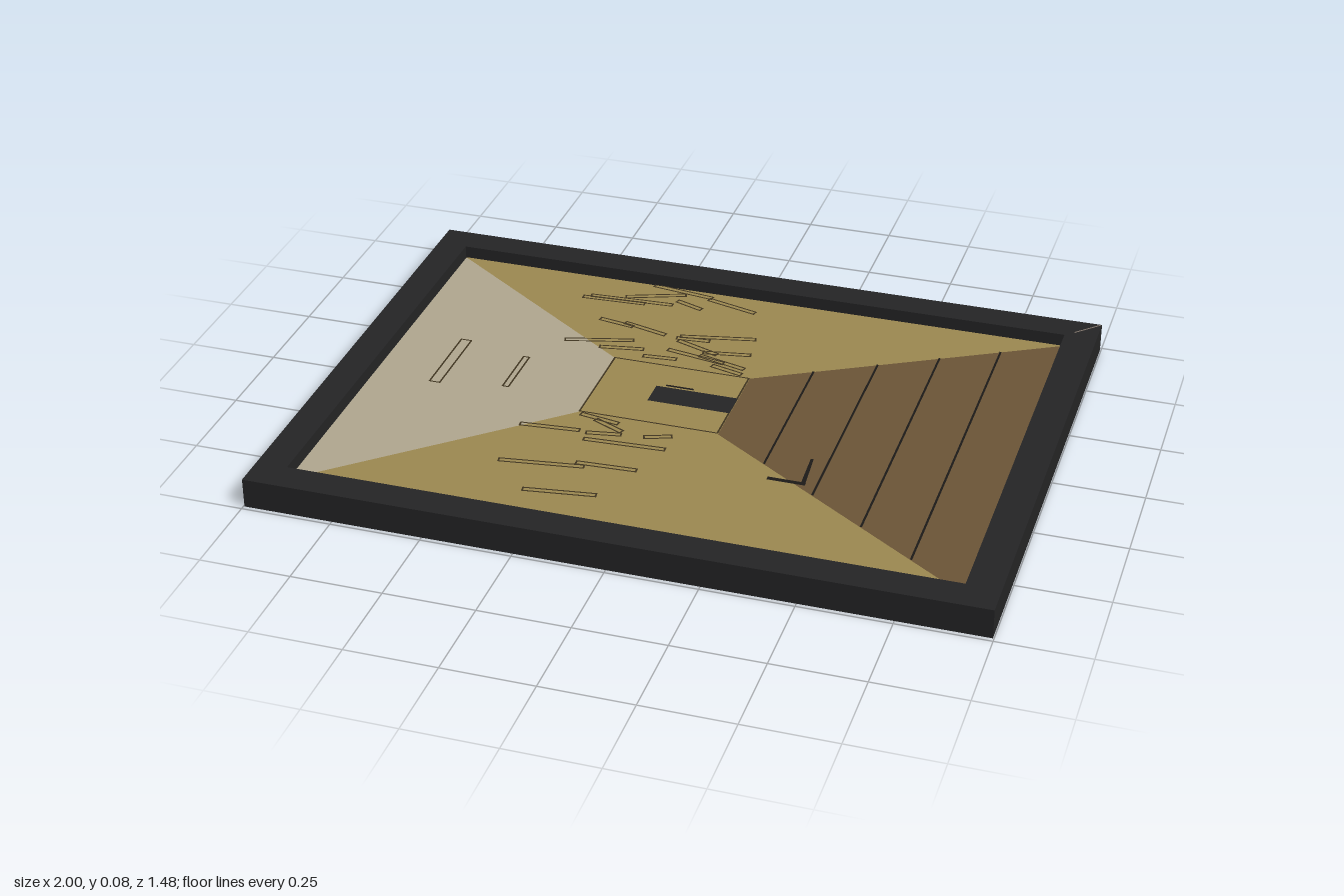
import * as THREE from 'three';

const mat = (name, color) => {
  const m = new THREE.MeshStandardMaterial({ color });
  m.name = name;
  return m;
};

export function createModel() {
  const model = new THREE.Group();
  model.name = 'framedPicture';
  const black = mat('frameBlack', 0x242425);
  const cream = mat('canvasCream', 0xb0a78f);
  const ochre = mat('wallOchre', 0x9c8850);
  const brown = mat('doorBrown', 0x6b5537);
  const line = mat('lineDark', 0x3f3420);
  const ink = mat('inkBlack', 0x1c1a18);
  const side = mat('sideGrey', 0x85796f);
  const TOP = 0.045; // picture surface height

  const add = (parent, name, geometry, material) => {
    const mesh = new THREE.Mesh(geometry, material);
    mesh.name = name;
    parent.add(mesh);
    return mesh;
  };
  const box = (parent, name, material, x0, x1, y0, y1, z0, z1) => {
    const mesh = add(parent, name, new THREE.BoxGeometry(x1 - x0, y1 - y0, z1 - z0), material);
    mesh.position.set((x0 + x1) / 2, (y0 + y1) / 2, (z0 + z1) / 2);
    return mesh;
  };
  // points are [x, z] pairs on the flat picture
  const toShape = (pts, Type = THREE.Shape) => new Type(pts.map(([x, z]) => new THREE.Vector2(x, -z)));
  const rect = (x0, x1, z0, z1) => [[x0, z0], [x0, z1], [x1, z1], [x1, z0]];
  const flat = (name, pts, y, material) => {
    const mesh = add(model, name, new THREE.ShapeGeometry(toShape(pts)).rotateX(-Math.PI / 2), material);
    mesh.position.y = y;
    return mesh;
  };
  // thin rectangular outline centred at x, z
  const outline = (name, x, z, w, h, angle = 0) => {
    const t = 0.005;
    const s = toShape(rect(-w / 2, w / 2, -h / 2, h / 2));
    s.holes.push(toShape(rect(-w / 2 + t, w / 2 - t, -h / 2 + t, h / 2 - t), THREE.Path));
    const mesh = add(model, name, new THREE.ShapeGeometry(s).rotateX(-Math.PI / 2), line);
    mesh.position.set(x, TOP + 0.004, z);
    mesh.rotation.y = -angle * Math.PI / 180;
  };

  // Frame with a rectangular opening
  const frame = toShape(rect(-0.997, 0.997, -0.738, 0.738));
  frame.holes.push(toShape(rect(-0.91, 0.905, -0.65, 0.647), THREE.Path));
  add(model, 'frame', new THREE.ExtrudeGeometry(frame, { depth: 0.083, bevelEnabled: false }).rotateX(-Math.PI / 2), black);
  box(model, 'frameSidePlate', side, -1, -0.996, 0.005, 0.078, -0.73, 0.73);
  const mitre = box(model, 'mitreLine', side, -0.045, 0.045, 0.083, 0.084, -0.0015, 0.0015);
  mitre.position.set(0.962, 0.0835, -0.703);
  mitre.rotation.y = Math.PI / 4;

  // Canvas, whose bare surface is the pale left wall
  box(model, 'canvas', cream, -0.915, 0.91, 0.028, TOP, -0.655, 0.652);

  // Painted ceiling, floor, end wall and planked right wall
  const far = { x0: -0.293, x1: 0.105, z0: -0.21, z1: 0.1 };
  const X0 = -0.91, X1 = 0.905, Z0 = -0.65, Z1 = 0.647;
  flat('upperWall', [[X0, Z0], [far.x0, far.z0], [far.x1, far.z0], [X1, Z0]], TOP + 0.002, ochre);
  flat('lowerWall', [[far.x0, far.z1], [X0, Z1], [X1, Z1], [far.x1, far.z1]], TOP + 0.002, ochre);
  flat('endWall', rect(far.x0, far.x1, far.z0, far.z1), TOP + 0.002, ochre);
  flat('plankedWall', [[far.x1, far.z0], [far.x1, far.z1], [X1, Z1], [X1, Z0]], TOP + 0.002, brown);
  outline('endWallOutline', (far.x0 + far.x1) / 2, (far.z0 + far.z1) / 2, far.x1 - far.x0, far.z1 - far.z0);

  // Plank seams, clipped to the tapering wall
  for (const x of [0.265, 0.427, 0.585, 0.742]) {
    const k = (x - far.x1) / (X1 - far.x1);
    flat('plankSeam', rect(x - 0.003, x + 0.003, far.z0 + k * (Z0 - far.z0), far.z1 + k * (Z1 - far.z1)), TOP + 0.004, ink);
  }

  // Slits on the pale wall
  outline('wideSlit', -0.727, -0.055, 0.035, 0.25);
  outline('narrowSlit', -0.53, -0.052, 0.022, 0.175);

  // Dark opening, its ledge, and the bent handle
  flat('darkOpening', rect(-0.13, 0.105, -0.09, -0.008), TOP + 0.006, black);
  flat('ledge', rect(-0.105, -0.025, -0.104, -0.096), TOP + 0.006, ink);
  flat('handleBar', rect(0.293, 0.397, 0.27, 0.284), TOP + 0.006, ink);
  flat('handleStem', [[0.378, 0.152], [0.384, 0.27], [0.396, 0.27], [0.386, 0.152]], TOP + 0.006, ink);

  // Loose bricks: x, z, length, tilt in degrees
  const bricks = [
    [-0.06, -0.59, 0.16, 15], [-0.22, -0.632, 0.19, 8], [-0.29, -0.585, 0.18, -20],
    [-0.35, -0.54, 0.25, -3], [-0.4, -0.525, 0.19, -3], [-0.18, -0.56, 0.09, 20],
    [-0.35, -0.4, 0.11, 10], [-0.26, -0.39, 0.14, 15], [-0.045, -0.4, 0.22, -12],
    [-0.365, -0.29, 0.2, -15], [-0.29, -0.265, 0.13, -10], [-0.11, -0.37, 0.1, -5],
    [-0.085, -0.33, 0.14, 20], [0.005, -0.32, 0.14, -10], [-0.075, -0.28, 0.18, 10],
    [0.005, -0.27, 0.15, 15], [-0.17, -0.245, 0.1, -5], [0.03, -0.233, 0.1, 15],
    [-0.34, 0.2, 0.17, -5], [-0.225, 0.12, 0.12, 10], [-0.19, 0.147, 0.1, 25],
    [-0.19, 0.19, 0.1, -10], [-0.045, 0.163, 0.08, -20], [-0.12, 0.225, 0.23, -3],
    [-0.3, 0.38, 0.235, -8], [-0.13, 0.345, 0.17, -3], [-0.207, 0.5, 0.2, -8],
  ];
  for (const [x, z, length, tilt] of bricks) outline('brick', x, z, length, 0.02, tilt);

  return model;
}
